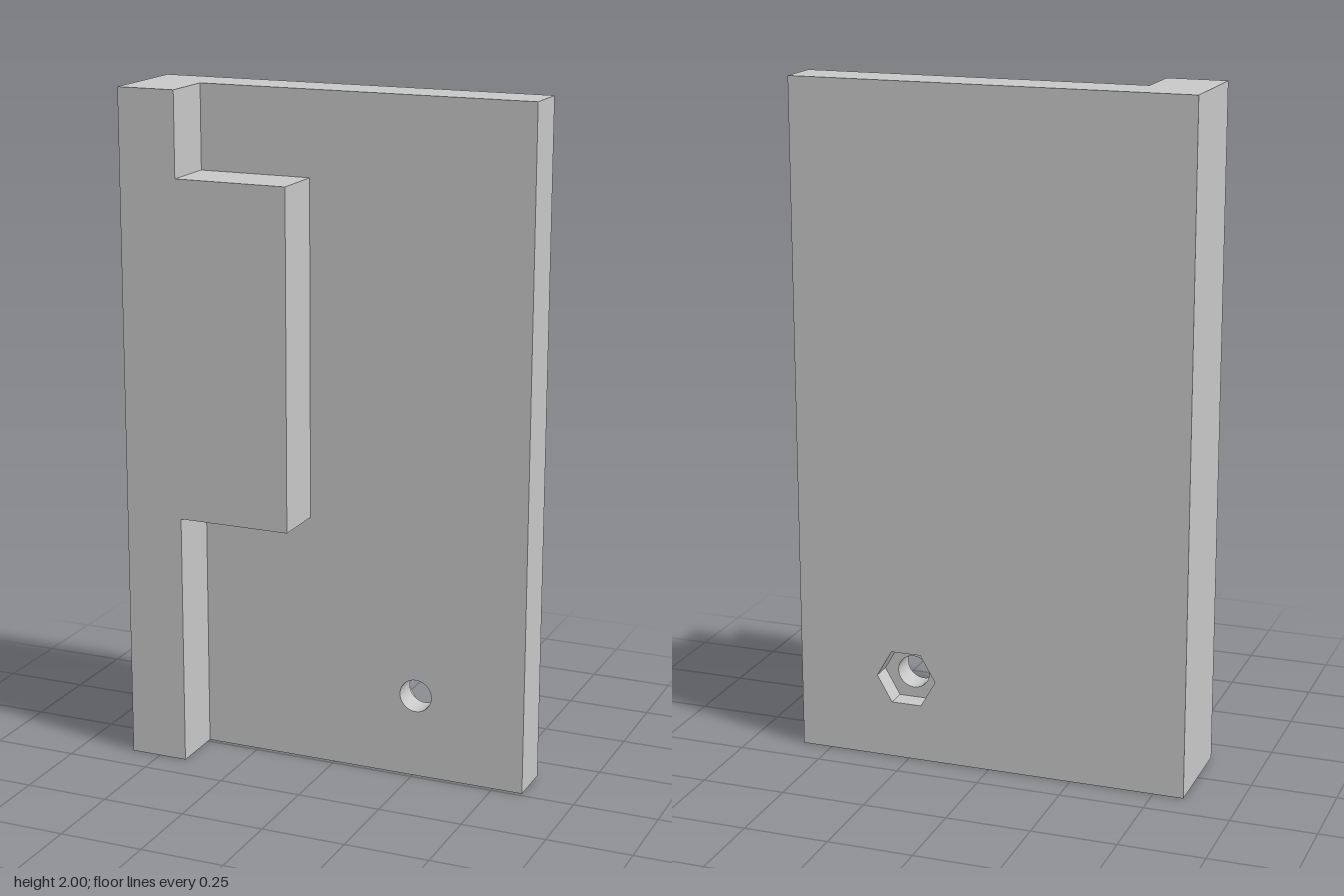
import * as THREE from 'three';

const W = 0.59, H = 2, BACK = -0.153, FLOOR = -0.091, FACE = -0.013, FRONT = 0.153;
const HOLE = { x: 0.257, y: 0.25, r: 0.049, hexR: 0.091 };

const outline = (points) => new THREE.Shape(points.map(([x, y]) => new THREE.Vector2(x, y)));

// Regular polygon path around the bolt hole, with a corner on the x axis
function polygonHole(radius, sides) {
  const pts = [];
  for (let i = 0; i < sides; i++) {
    const a = -i / sides * Math.PI * 2;
    pts.push(new THREE.Vector2(HOLE.x + radius * Math.cos(a), HOLE.y + radius * Math.sin(a)));
  }
  return new THREE.Path(pts);
}

export function createModel() {
  const group = new THREE.Group();
  const lightGrey = new THREE.MeshStandardMaterial({ color: 0xc8c8c8 });
  lightGrey.name = 'lightGrey';

  const addSlab = (name, shape, z0, z1) => {
    const geometry = new THREE.ExtrudeGeometry(shape, { depth: z1 - z0, bevelEnabled: false });
    const mesh = new THREE.Mesh(geometry.translate(0, 0, z0), lightGrey);
    mesh.name = name;
    group.add(mesh);
  };
  const plate = (hole) => {
    const shape = outline([[-W, 0], [W, 0], [W, H], [-W, H]]);
    shape.holes.push(hole);
    return shape;
  };

  // Back layer holds the hexagonal nut pocket, front layer the round bolt hole
  addSlab('nutPocketPlate', plate(polygonHole(HOLE.hexR, 6)), BACK, FLOOR);
  addSlab('boltHolePlate', plate(polygonHole(HOLE.r, 40)), FLOOR, FACE);

  // Raised edge rail with its projecting block
  addSlab('edgeRail', outline([
    [-W, 0], [-0.415, 0], [-0.415, 0.755], [-0.077, 0.755],
    [-0.077, 1.752], [-0.415, 1.752], [-0.415, H], [-W, H],
  ]), FACE, FRONT);

  return group;
}
